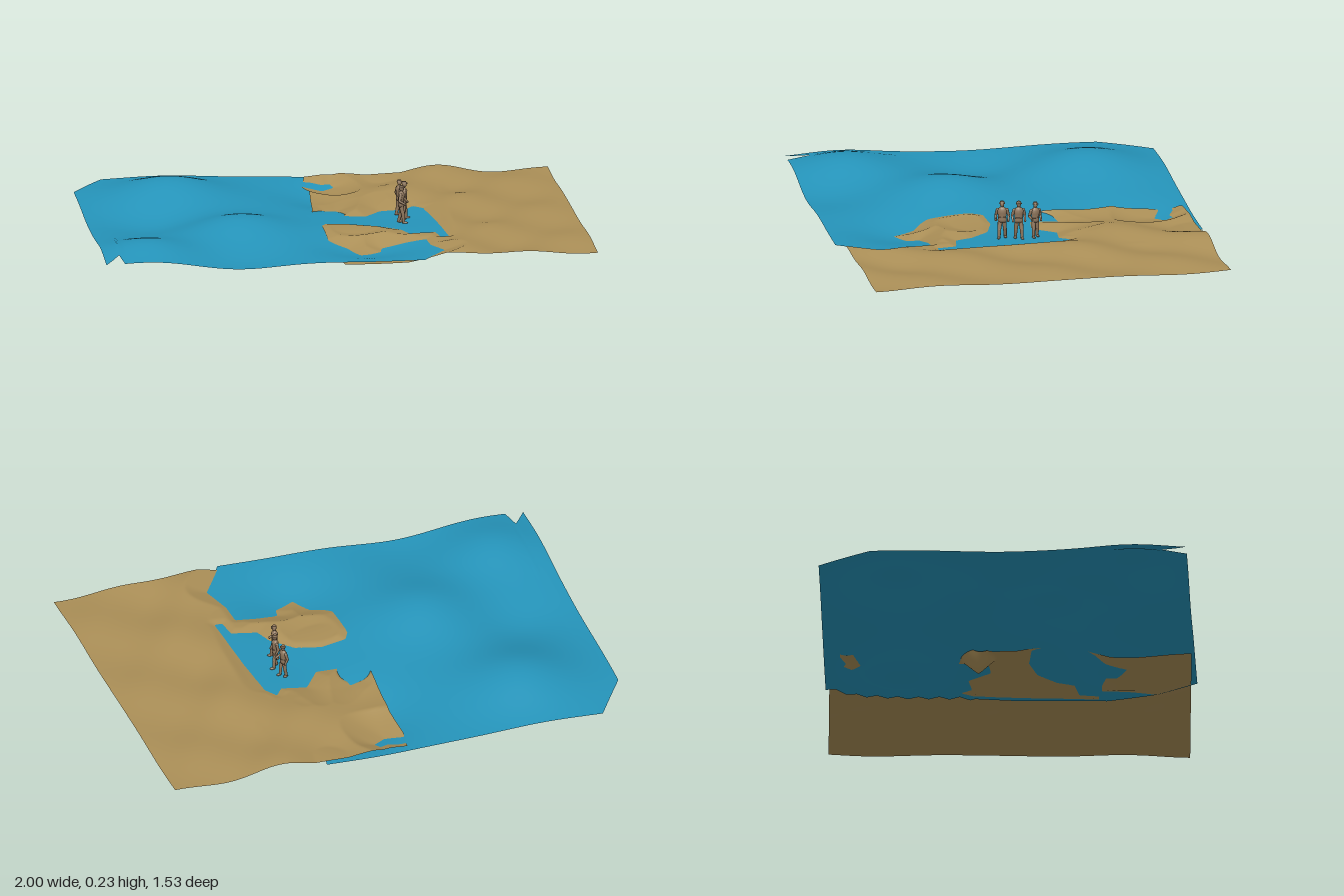
import * as THREE from 'three';

const mat = (name, color, side = THREE.FrontSide) => {
  const m = new THREE.MeshStandardMaterial({ color, side });
  m.name = name;
  return m;
};

// piecewise linear lookup through [key, value] pairs
function table(points, t) {
  for (let i = 1; i < points.length; i++) {
    const [a, va] = points[i - 1], [b, vb] = points[i];
    if (t <= b) return va + (vb - va) * Math.max(0, (t - a) / (b - a));
  }
  return points[points.length - 1][1];
}

// coastline of the dry land, as (x, z) corners
const COAST = [
  [-0.2, -0.9], [-0.2, -0.69], [0.02, -0.68], [0.07, -0.655], [0.1, -0.665], [0.115, -0.63], [0.06, -0.595],
  [-0.01, -0.625], [-0.2, -0.62], [-0.2, -0.12], [-0.04, -0.12], [0.015, -0.19], [0.065, -0.2], [0.075, -0.08],
  [0.165, -0.07], [0.235, -0.16], [0.34, -0.145], [0.375, -0.19], [0.41, -0.14], [0.43, 0.08], [0.445, 0.37],
  [0.41, 0.37], [0.4, 0.29], [0.295, 0.27], [0.27, 0.2], [0.19, 0.12], [0.085, 0.085], [-0.02, 0.095],
  [-0.05, 0.15], [-0.05, 0.31], [-0.02, 0.35], [0.03, 0.39], [0.07, 0.48], [0.155, 0.44], [0.165, 0.395],
  [0.27, 0.38], [0.35, 0.38], [0.355, 0.48], [0.395, 0.6], [0.28, 0.77], [0.28, 0.9], [1.3, 0.9], [1.3, -0.9],
];

// signed distance to the coast, positive on land
function inland(x, z) {
  let best = 9, inside = false;
  COAST.forEach(([ax, az], i) => {
    const [bx, bz] = COAST[(i + 1) % COAST.length];
    const dx = bx - ax, dz = bz - az;
    const t = THREE.MathUtils.clamp(((x - ax) * dx + (z - az) * dz) / (dx * dx + dz * dz), 0, 1);
    best = Math.min(best, Math.hypot(x - ax - t * dx, z - az - t * dz));
    if ((az > z) !== (bz > z) && x < ax + ((z - az) / dz) * dx) inside = !inside;
  });
  return inside ? best : -best;
}

// swells and troughs: x, z, height, radius
const SWELLS = [
  [-0.58, -0.45, 0.077, 0.24], [-0.38, 0.17, 0.06, 0.22], [-0.8, 0.5, 0.052, 0.2], [-0.72, -0.02, -0.03, 0.2],
  [-0.45, 0.68, -0.025, 0.22], [0.12, -0.43, -0.062, 0.22], [0.2, 0.0, -0.014, 0.2], [0.1, 0.45, -0.045, 0.2],
];
const waterHeight = (x, z) => SWELLS.reduce(
  (y, [sx, sz, h, r]) => y + h * Math.exp(-((x - sx) ** 2 + (z - sz) ** 2) / (r * r)), 0.088);

function sandHeight(x, z) {
  // dunes running diagonally, flatter towards the far edge
  const fade = 1 - 0.5 * THREE.MathUtils.smoothstep(x, 0.5, 1);
  const dunes = 0.094 + fade * (0.011 * Math.sin(15 * x + 11 * z + 1) + 0.007 * Math.sin(9 * x - 13 * z))
    + 0.01 * Math.exp(-(((x - 0.5) / 0.15) ** 2));
  const w = waterHeight(x, z), s = inland(x, z);
  const shore = w + (s < 0 ? Math.max(0.2 * s, -0.012) : Math.min(0.3 * s, Math.max(dunes - w, 0.008)));
  const y = THREE.MathUtils.lerp(shore, dunes, THREE.MathUtils.smoothstep(x, 0.45, 0.56));
  // pointed hollow in the bay floor
  return y * (1 - Math.max(0, 1 - Math.hypot(x - 0.02, z + 0.12) / 0.07));
}

// sheet stretched between four edge rules and lifted by a height rule
function sheet(name, material, nx, nz, left, right, back, front, height) {
  const geo = new THREE.PlaneGeometry(1, 1, nx, nz).rotateX(-Math.PI / 2);
  const p = geo.attributes.position;
  for (let i = 0; i < p.count; i++) {
    const u = p.getX(i) + 0.5, v = p.getZ(i) + 0.5;
    const x = THREE.MathUtils.lerp(left(v), right(v), u);
    const z = THREE.MathUtils.lerp(back(u), front(u), v);
    p.setXYZ(i, x, height(x, z), z);
  }
  geo.computeVertexNormals();
  const mesh = new THREE.Mesh(geo, material);
  mesh.name = name;
  return mesh;
}

// standing figure facing +x, about 0.155 tall
function figure(name, material, stride, armBend) {
  const g = new THREE.Group();
  g.name = name;
  const add = (part, geo, x, y, z, sx = 1, sy = 1, sz = 1) => {
    const m = new THREE.Mesh(geo, material);
    m.name = part;
    m.position.set(x, y, z);
    m.scale.set(sx, sy, sz);
    g.add(m);
    return m;
  };
  const limb = (part, a, b, r0, r1) => {
    const from = new THREE.Vector3(...a), to = new THREE.Vector3(...b), d = to.clone().sub(from);
    const mid = from.clone().add(to).multiplyScalar(0.5);
    const m = add(part, new THREE.CylinderGeometry(r1, r0, d.length(), 10), mid.x, mid.y, mid.z);
    m.quaternion.setFromUnitVectors(new THREE.Vector3(0, 1, 0), d.normalize());
    add(part + 'Joint', new THREE.SphereGeometry(r1, 10, 8), to.x, to.y, to.z);
  };
  // jacket
  const profile = [[0, 0.068], [0.016, 0.068], [0.0165, 0.078], [0.0145, 0.088], [0.017, 0.105], [0.018, 0.118],
    [0.012, 0.127], [0.006, 0.13], [0.006, 0.137]];
  add('jacket', new THREE.LatheGeometry(profile.map(([x, y]) => new THREE.Vector2(x, y)), 14), 0, 0, 0, 0.75, 1, 1.1);
  const belt = add('belt', new THREE.TorusGeometry(0.0145, 0.002, 6, 16), 0, 0.088, 0, 1.1, 0.75, 1);
  belt.rotation.set(Math.PI / 2, 0, Math.PI / 2);
  // head and cap
  add('head', new THREE.SphereGeometry(0.0095, 12, 10), 0.002, 0.142, 0, 1, 1.2, 0.9);
  add('cap', new THREE.CylinderGeometry(0.008, 0.0105, 0.008, 12), 0.001, 0.151, 0);
  add('capBrim', new THREE.CylinderGeometry(0.012, 0.0125, 0.002, 12), 0.003, 0.147, 0);
  for (const s of [-1, 1]) {
    const step = s * stride;
    limb('shin', [step, 0.004, s * 0.012], [step * 0.5 + 0.003, 0.038, s * 0.011], 0.006, 0.0075);
    limb('thigh', [step * 0.5 + 0.003, 0.038, s * 0.011], [0, 0.075, s * 0.008], 0.0075, 0.0095);
    add('boot', new THREE.SphereGeometry(0.007, 10, 8), step + 0.005, 0.004, s * 0.013, 1.7, 0.8, 0.9);
    const bend = s > 0 ? armBend : 0.006;
    limb('upperArm', [-0.004, 0.095, s * 0.026], [0, 0.119, s * 0.019], 0.0055, 0.0068);
    limb('forearm', [bend, 0.072 + bend * 0.6, s * 0.025], [-0.004, 0.095, s * 0.026], 0.0042, 0.0055);
    add('hand', new THREE.SphereGeometry(0.005, 8, 6), bend, 0.07 + bend * 0.6, s * 0.025);
  }
  return g;
}

export function createModel() {
  const model = new THREE.Group();
  model.name = 'beachScene';
  const blue = mat('water blue', 0x2594ba, THREE.DoubleSide);
  const sand = mat('sand', 0xab8f57, THREE.DoubleSide);
  const brown = mat('figure brown', 0x8f765c);

  // sea with a clipped corner, a notch and a toothed edge under the sand
  const teeth = (v) => (v < 0.4 ? 0.03 * (Math.abs(((v * 18) % 1) - 0.5) * 2 - 0.5) : 0);
  model.add(sheet('sea', blue, 120, 144,
    (v) => table([[0, -0.815], [0.14, -0.955], [1, -1]], v),
    (v) => table([[0, 0.34], [0.08, 0.4], [0.35, 0.43], [0.5, 0.455], [0.76, 0.46], [0.892, 0.395], [1, 0.29]], v) + teeth(v),
    (u) => -0.77 + 0.035 * u,
    (u) => table([[0, 0.71], [0.05, 0.615], [0.0501, 0.715], [1, 0.765]], u),
    waterHeight));

  // beach, dipping below the sea in the bays
  model.add(sheet('beach', sand, 120, 168,
    (v) => table([[0, 0.005], [0.08, -0.02], [0.18, -0.01], [0.4, -0.042], [0.7, -0.042], [1, -0.03]], v),
    () => 1, () => -0.72, () => 0.74, sandHeight));

  // three figures wading in the bay
  [[0.29, 0.078, 1.0, 0.012, 0.018], [0.31, 0.014, 1.01, -0.01, 0.01], [0.3, -0.056, 0.95, 0.008, 0.022]].forEach(
    ([x, z, size, stride, bend], i) => {
      const f = figure('figure' + (i + 1), brown, stride, bend);
      f.position.set(x, waterHeight(x, z), z);
      f.rotation.y = (i - 1) * 0.25;
      f.scale.setScalar(size);
      model.add(f);
    });
  return model;
}
